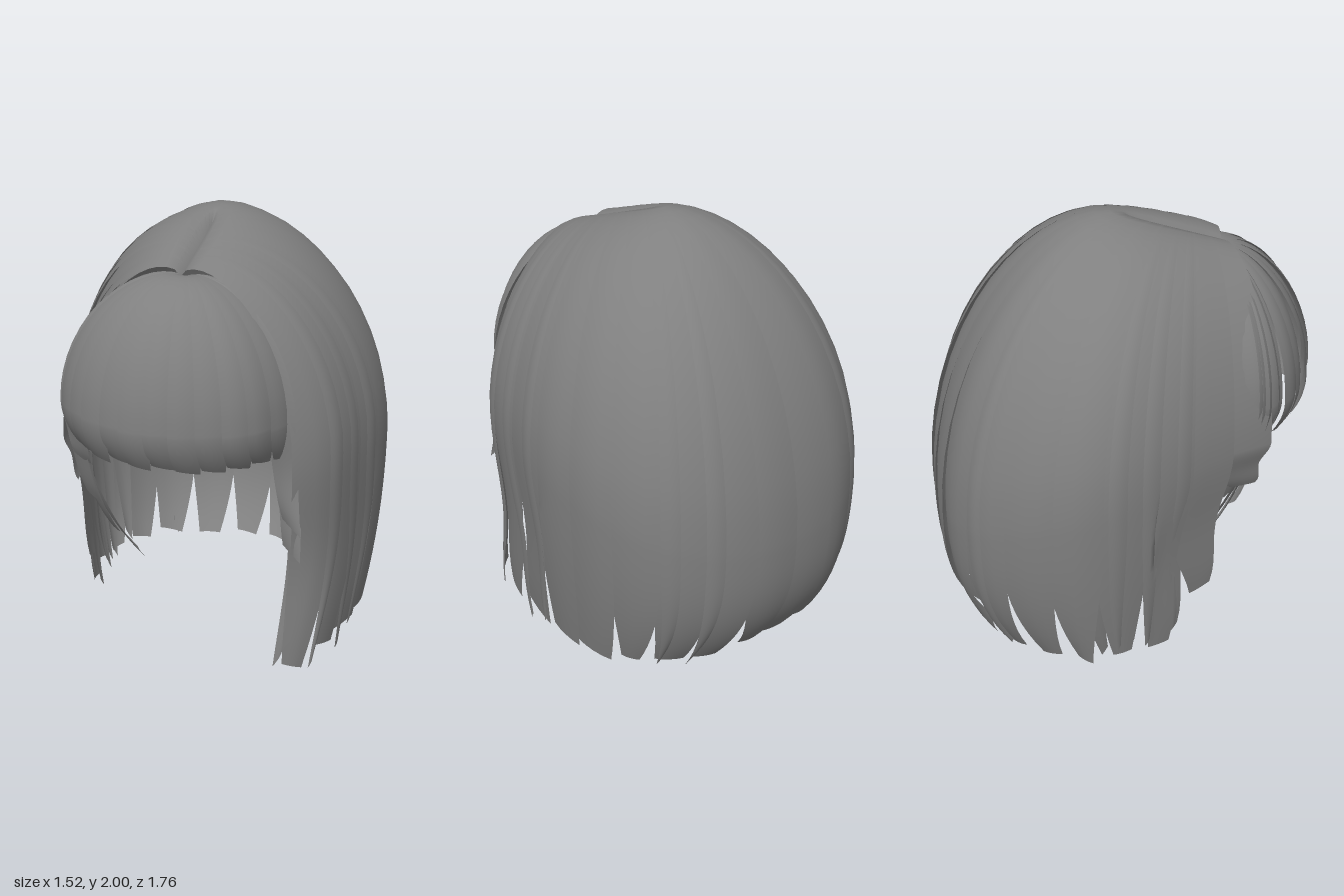
import * as THREE from 'three';

const material = new THREE.MeshStandardMaterial({ color: 0x808080, side: THREE.DoubleSide });
const { lerp, smoothstep } = THREE.MathUtils;

// Small repeatable variation in -1..1
const vary = (i, k) => {
  const v = Math.sin(i * 12.9898 + k * 78.233) * 43758.5453;
  return 2 * (v - Math.floor(v)) - 1;
};

// Plan outline through [x, z] points
const outline = (points) => new THREE.CatmullRomCurve3(points.map(([x, z]) => new THREE.Vector3(x, 0, z)));

// Outer hair, from the left face edge round the back to the right face edge
const crown = outline([
  [0.54, 0.58], [0.66, 0.43], [0.72, 0.18], [0.755, -0.12], [0.7, -0.46], [0.54, -0.7], [0.24, -0.85],
  [-0.05, -0.88], [-0.34, -0.85], [-0.57, -0.7], [-0.74, -0.38], [-0.75, -0.2], [-0.69, 0.05], [-0.59, 0.32], [-0.52, 0.56],
]);
// Fringe, from left to right, with its ends tucked under the outer hair
const brow = outline([
  [0.55, 0.44], [0.49, 0.6], [0.39, 0.74], [0.2, 0.84], [0, 0.88], [-0.2, 0.84], [-0.42, 0.71], [-0.52, 0.56], [-0.52, 0.42],
]);

// Roots run along the parting; hair at the back starts further up
const crownRoot = (u) => {
  const k = Math.sin(Math.PI * u);
  return { x: 0, y: 1.785 + 0.14 * k, z: 0.47 - 0.4 * k, bend: lerp(1.04, 0.7, k * k * k), lift: 0.055 + 0.045 * k };
};
const browRoot = () => ({ x: 0.01, y: 1.77, z: 0.44, bend: 1.22, lift: 0.035 });

// The right side is cut shorter towards the face
const cut = (u) => 0.75 * smoothstep(u, 0.88, 0.98);

// One lock: a ribbon that arches over the head from the parting, then falls and narrows to its tip
function lock(name, o) {
  const {
    curve, root, u, half, tip, scale = 1, tilt = 0.012, taper = 0.3, drift = 0, slope = 0,
    pullX = 0.1, pullZ = 0.2, forward = 0, dip = 0.05,
  } = o;
  const cols = 4, dome = 16, fall = 12, rows = dome + fall;
  const position = [], index = [];
  for (let r = 0; r <= rows; r++) {
    const phi = (Math.PI / 2) * Math.pow(Math.min(1, r / dome), 1.25);
    const q = Math.max(0, (r - dome) / fall);
    const width = half * lerp(1, taper, Math.pow(q, 2.2));
    const h = Math.sin(phi);
    for (let c = 0; c <= cols; c++) {
      const side = (2 * c) / cols - 1;
      const w = THREE.MathUtils.clamp(u + side * width + drift * q * q, 0, 1);
      const p = curve.getPointAt(w), a = root(w);
      const grow = scale + tilt * side + 0.006 * (1 - side * side);
      const lift = phi < 1.35 ? a.lift * Math.sin(Math.PI * Math.sqrt(phi / 1.35)) : 0;
      const drop = q * (a.bend - tip - slope * side);
      const x = lerp(a.x, p.x * grow, h) * (1 - pullX * q * q);
      const z = lerp(a.z, p.z * grow, h) - pullZ * Math.min(0, p.z) * Math.pow(q, 3) + forward * q * q
        - (p.z > 0 ? dip * Math.pow(Math.sin(Math.PI * q), 2) : 0);
      position.push(x, a.bend + (a.y - a.bend) * Math.cos(phi) * (0.97 + 0.03 * grow) + lift - drop, z);
    }
  }
  for (let r = 0; r < rows; r++) {
    for (let c = 0; c < cols; c++) {
      const a = r * (cols + 1) + c, b = a + cols + 1;
      index.push(a, a + 1, b, b, a + 1, b + 1);
    }
  }
  const geometry = new THREE.BufferGeometry();
  geometry.setAttribute('position', new THREE.Float32BufferAttribute(position, 3));
  geometry.setIndex(index);
  geometry.computeVertexNormals();
  const mesh = new THREE.Mesh(geometry, material);
  mesh.name = name;
  return mesh;
}

export function createModel() {
  const hair = new THREE.Group();
  hair.name = 'bobHair';
  const section = (name) => {
    const group = new THREE.Group();
    group.name = name;
    hair.add(group);
    return group;
  };

  // Wide overlapping locks round the sides and back; those behind the left ear stay broad to the hem
  const outer = section('outerHair');
  const count = 18;
  for (let i = 0; i < count; i++) {
    const u = (i + 0.5) / count;
    const broad = u > 0.12 && u < 0.28;
    outer.add(lock('outerLock', {
      curve: crown, root: crownRoot, u, half: 0.034, scale: 0.99 + 0.006 * (i % 2),
      tip: 0.09 + 0.02 * vary(i, 1) + cut(u), slope: broad ? -0.01 : 0.02 * vary(i, 2), drift: 0.006 * vary(i, 3),
      taper: broad ? 0.9 : 0.45 + 0.12 * vary(i, 4), forward: 0.06 * Math.max(0, 1 - 4 * u),
    }));
  }

  // Narrower locks beneath, filling out both sides
  const inner = section('innerSideHair');
  for (const right of [false, true]) {
    for (let i = 0; i < 9; i++) {
      const v = 0.018 + i * 0.031;
      const u = right ? 1 - v : v;
      inner.add(lock('innerLock', {
        curve: crown, root: crownRoot, u, half: 0.017, scale: 0.96 + 0.012 * vary(i, 5),
        tip: 0.14 + 0.05 * vary(i, right ? 6 : 7) + cut(u), taper: 0.3, slope: 0.03,
        forward: right ? 0 : 0.06 * (1 - i / 9), pullX: 0.13, drift: 0.012 * vary(i, 8),
      }));
    }
  }

  // Thin loose locks over the surface
  const loose = section('looseLocks');
  [[0.1, 0.02], [0.06, 0.06], [0.15, 0.08], [0.35, 0.1], [0.4, 0.08], [0.63, 0.09], [0.8, 0.14], [0.84, 0.12], [0.88, 0.15]]
    .forEach(([u, tip], i) => loose.add(lock('looseLock', {
      curve: crown, root: crownRoot, u, half: 0.011, tip, scale: 1.004, taper: 0.3, tilt: 0.004,
      drift: 0.015 * vary(i, 9), slope: 0.02, forward: u < 0.1 ? 0.06 : 0,
    })));

  // Blunt fringe
  const fringe = section('fringe');
  const bangs = 14;
  for (let i = 0; i < bangs; i++) {
    fringe.add(lock('fringeLock', {
      curve: brow, root: browRoot, u: (i + 0.5) / bangs, half: 0.044, scale: 0.985 + 0.012 * (i % 2),
      tip: 1.045 + 0.012 * vary(i, 10), taper: 0.75, pullX: 0.04, forward: -0.06, slope: 0.01, dip: 0,
    }));
  }

  // Longer wisps framing the face: [position on fringe line, tip height, inward sweep, drift in depth]
  const wisps = section('faceFramingLocks');
  [
    [0.07, 0.6, -0.04, -0.01], [0.1, 0.74, -0.1, -0.01], [0.86, 0.92, 0.02, -0.1],
    [0.89, 0.7, 0.08, -0.15], [0.91, 0.5, 0.18, -0.25], [0.92, 0.33, 0.36, -0.35],
  ].forEach(([u, tip, pullX, forward]) => wisps.add(lock('faceLock', {
    curve: brow, root: browRoot, u, half: 0.035, tip, scale: 0.965, taper: 0.4, pullX, forward,
    tilt: u < 0.5 ? -0.07 : 0.05, slope: 0.03, dip: 0.02,
  })));

  return hair;
}
